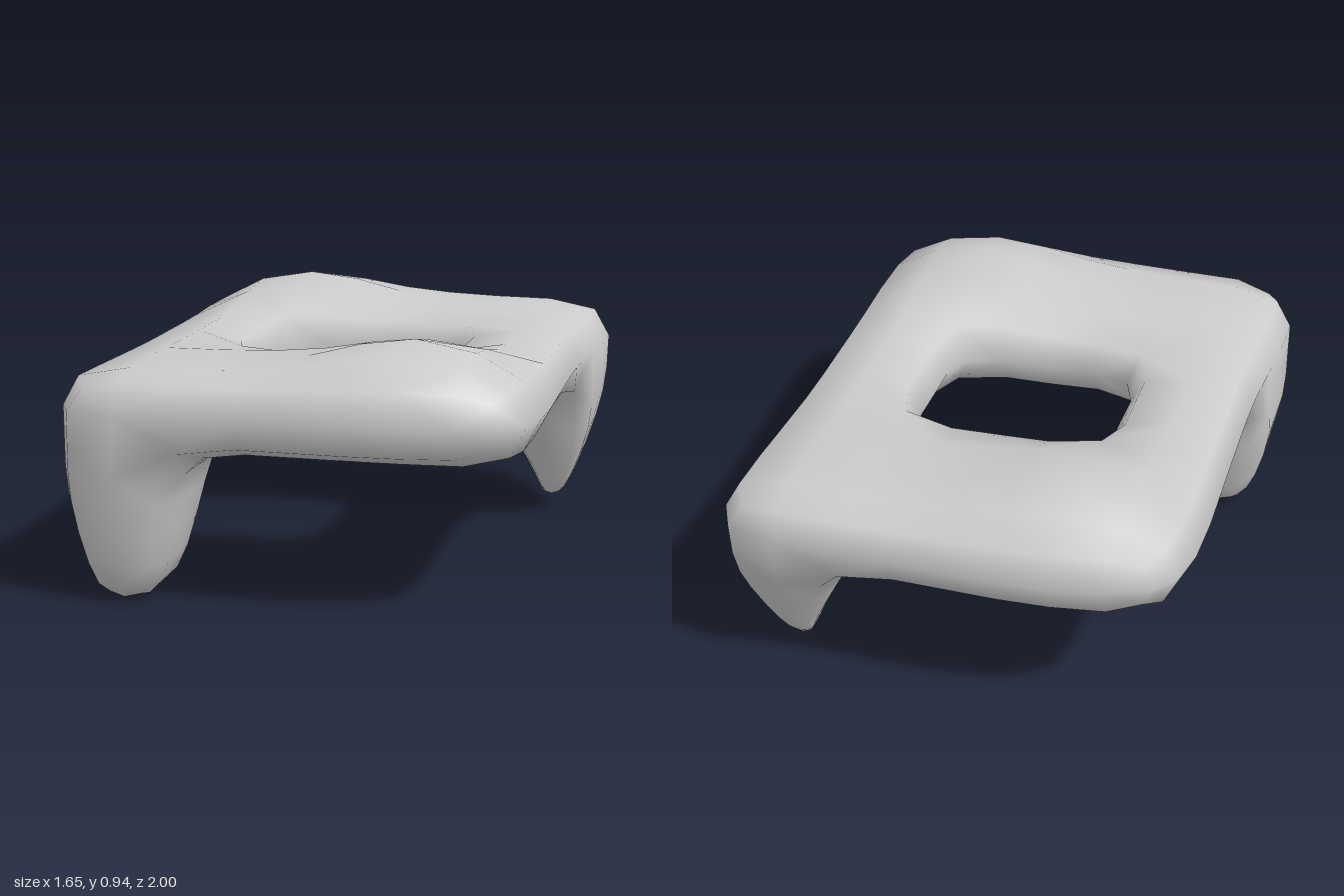
import * as THREE from 'three';

// Plan grid lines, measured outwards from the middle
const X = [0, 0.35, 0.79], Z = [0, 0.28, 0.69, 1.0];
const UNDER = [0.57, 0.56, 0.535, 0.57];

// Position of a cage corner on the 5 x 7 plan grid (i along x, k along z)
function cagePoint(i, k, top) {
  const sx = Math.sign(i - 2), sz = Math.sign(k - 3);
  const a = Math.abs(i - 2), b = Math.abs(k - 3);
  const legged = sx * sz < 0, raised = sx * sz > 0; // alternate around the frame
  let x = X[a], z = Z[b], y = top ? 0.83 : UNDER[b];
  // Bump on the raised corners, fading towards the middle of the rail
  if (top && b === 2 && a === 0) y = 0.867;
  if (top && b === 2 && a === 1 && raised) y = sz > 0 ? 1.02 : 1.0;
  // Raised corners are rounder in plan, legged ones spread a little
  if (raised && a === 2 && b === 3) [x, z] = [0.72, 0.91];
  if (legged && a === 2 && b >= 2) x = 0.825;
  if (legged && !top && a === 1) x = 0.37;
  if (legged && !top && b === 1) z = 0.33;
  return new THREE.Vector3(sx * x, y, sz * z);
}

// Legs hang from two neighbouring cells; rings run from the frame to the tip
const legs = [
  { i: 0, k: 4, rings: [
    { y: 0.39, x: [-0.83, -0.42], z: [0.4, 0.69, 0.97] },
    { y: 0.13, x: [-0.775, -0.475], z: [0.49, 0.69, 0.91] },
    { y: 0, x: [-0.71, -0.55], z: [0.55, 0.68, 0.84] },
  ] },
  { i: 3, k: 0, rings: [
    { y: 0.38, x: [0.46, 0.795], z: [-0.91, -0.69, -0.44] },
    { y: 0.14, x: [0.58, 0.71], z: [-0.78, -0.69, -0.6] },
    { y: 0.068, x: [0.6, 0.66], z: [-0.73, -0.69, -0.65] },
  ] },
];

// Closed quad cage: rectangular frame with a hole and two legs
function buildCage() {
  const points = [], faces = [];
  const id = ([i, k], top) => (i * 7 + k) * 2 + top;
  for (let i = 0; i < 5; i++)
    for (let k = 0; k < 7; k++)
      for (const top of [0, 1]) points.push(cagePoint(i, k, top));

  const isHole = (i, k) => (i === 1 || i === 2) && (k === 2 || k === 3);
  const solid = (i, k) => i >= 0 && k >= 0 && i < 4 && k < 6 && !isHole(i, k);
  const outward = [[-1, 0], [0, 1], [1, 0], [0, -1]];
  for (let i = 0; i < 4; i++) {
    for (let k = 0; k < 6; k++) {
      if (!solid(i, k)) continue;
      const ring = [[i, k], [i, k + 1], [i + 1, k + 1], [i + 1, k]];
      faces.push(ring.map((c) => id(c, 1)));
      // Outer and hole walls
      outward.forEach(([di, dk], n) => {
        if (solid(i + di, k + dk)) return;
        const a = ring[n], b = ring[(n + 1) % 4];
        faces.push([id(b, 1), id(a, 1), id(a, 0), id(b, 0)]);
      });
      // Underside, left open where a leg joins
      if (!legs.some((l) => l.i === i && (l.k === k || l.k + 1 === k)))
        faces.push(ring.map((c) => id(c, 0)).reverse());
    }
  }

  // Leg walls ring by ring, then the tip
  const loop = [[1, 0], [1, 1], [1, 2], [0, 2], [0, 1], [0, 0]];
  for (const leg of legs) {
    let upper = loop.map(([di, dk]) => id([leg.i + di, leg.k + dk], 0));
    for (const { x, y, z } of leg.rings) {
      const lower = loop.map(([di, dk]) =>
        points.push(new THREE.Vector3(x[di], y, z[dk])) - 1);
      for (let n = 0; n < 6; n++) {
        const m = (n + 1) % 6;
        faces.push([upper[n], upper[m], lower[m], lower[n]]);
      }
      upper = lower;
    }
    const [a, b, c, d, e, f] = upper;
    faces.push([a, b, e, f], [b, c, d, e]);
  }
  return { points, faces };
}

// One step of Catmull-Clark smoothing on a closed quad mesh
function smooth({ points, faces }) {
  const vec = () => new THREE.Vector3();
  const edges = new Map();
  const around = points.map(() => ({ n: 0, faceSum: vec(), edgeSum: vec() }));
  const key = (a, b) => Math.min(a, b) + '_' + Math.max(a, b);
  const out = points.slice();
  const faceIds = faces.map((f) => {
    const c = vec();
    f.forEach((p) => c.addScaledVector(points[p], 0.25));
    f.forEach((a, n) => {
      const b = f[(n + 1) % 4];
      if (!edges.has(key(a, b))) edges.set(key(a, b), { a, b, sum: vec() });
      edges.get(key(a, b)).sum.add(c);
      around[a].n++;
      around[a].faceSum.add(c);
    });
    return out.push(c) - 1;
  });
  for (const e of edges.values()) {
    const ends = points[e.a].clone().add(points[e.b]);
    around[e.a].edgeSum.addScaledVector(ends, 0.5);
    around[e.b].edgeSum.addScaledVector(ends, 0.5);
    e.id = out.push(e.sum.add(ends).multiplyScalar(0.25)) - 1;
  }
  points.forEach((p, v) => {
    const { n, faceSum, edgeSum } = around[v];
    out[v] = p.clone().multiplyScalar((n - 3) / n)
      .addScaledVector(faceSum, 1 / (n * n))
      .addScaledVector(edgeSum, 2 / (n * n));
  });
  const quads = [];
  faces.forEach((f, q) => f.forEach((a, n) => {
    const next = edges.get(key(a, f[(n + 1) % 4])).id;
    const prev = edges.get(key(a, f[(n + 3) % 4])).id;
    quads.push([a, next, faceIds[q], prev]);
  }));
  return { points: out, faces: quads };
}

export function createModel() {
  const mesh = smooth(buildCage());
  // Unused cage corners inside the hole are dropped with the unindexed points
  const used = [...new Set(mesh.faces.flat())];
  const slot = new Map(used.map((p, n) => [p, n]));
  const geometry = new THREE.BufferGeometry().setFromPoints(used.map((p) => mesh.points[p]));
  geometry.setIndex(mesh.faces.flatMap(([a, b, c, d]) => [a, b, c, a, c, d].map((p) => slot.get(p))));
  geometry.computeVertexNormals();

  const frame = new THREE.Mesh(geometry, new THREE.MeshStandardMaterial({ color: 0xcccccc }));
  frame.name = 'frameWithTwoLegs';
  const group = new THREE.Group();
  group.name = 'softFrame';
  group.add(frame);
  return group;
}
